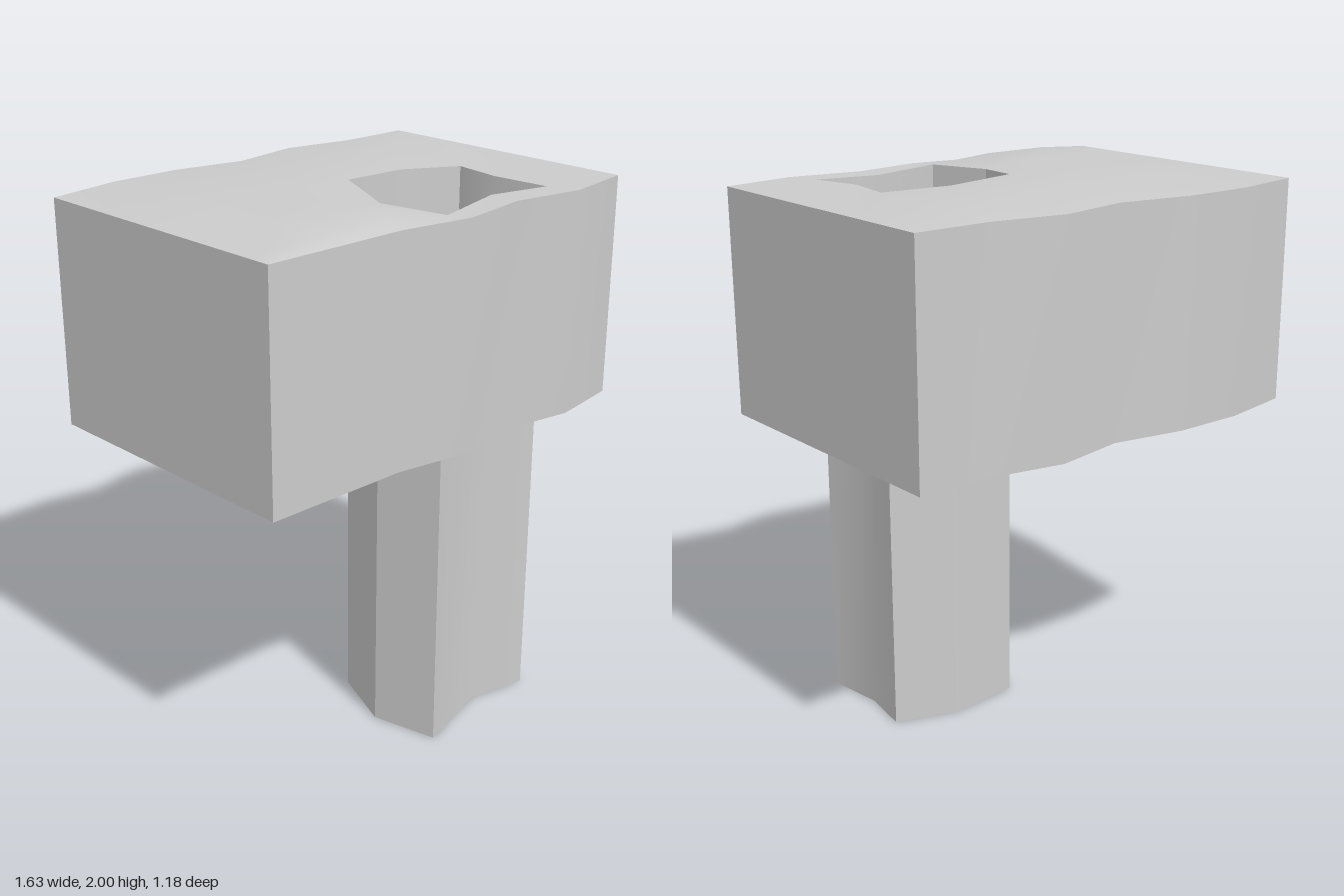
import * as THREE from 'three';
import { toCreasedNormals } from 'three/addons/utils/BufferGeometryUtils.js';

const BLOCK_BOTTOM = 1.16;
const EDGE_TOP = 1.975;

// trunk outline, clockwise from above: x, z, rim height
const trunkRing = [
  [0, 0.02, 2], [0.27, 0, 1.99], [0.5, 0.08, 1.98], [0.47, 0.27, 1.98],
  [0.5, 0.48, 1.975], [0.27, 0.43, 1.975], [-0.035, 0.515, 1.975], [-0.095, 0.27, 1.98],
].map(([x, z, y]) => new THREE.Vector3(x, y, z));

// open, double-sided surface with sharp creases
function surface(name, triangles) {
  const geometry = new THREE.BufferGeometry().setFromPoints(triangles);
  const material = new THREE.MeshStandardMaterial({ color: 0xcccccc, side: THREE.DoubleSide });
  const mesh = new THREE.Mesh(toCreasedNormals(geometry, 0.6), material);
  mesh.name = name;
  return mesh;
}

// walls dropped from a ring of points to a level
function wallTriangles(ring, bottom) {
  const out = [];
  ring.forEach((a, i) => {
    const b = ring[(i + 1) % ring.length];
    const a0 = new THREE.Vector3(a.x, bottom, a.z);
    const b0 = new THREE.Vector3(b.x, bottom, b.z);
    out.push(a, b, b0, a, b0, a0);
  });
  return out;
}

// uneven grid of points for the top of the leaf block
function topGrid() {
  const xs = [-0.815, -0.54, -0.27, 0, 0.27, 0.54, 0.815];
  const back = [-0.545, -0.595, -0.595, -0.545, -0.595, -0.545, -0.545];
  const front = [0.545, 0.545, 0.545, 0.59, 0.545, 0.59, 0.545];
  const rows = [back, -0.27, 0, 0.27, 0.48, front];
  const grid = rows.map((z, r) => xs.map((x, c) => {
    const edge = r === 0 || r === 5 || c === 0 || c === 6;
    return new THREE.Vector3(x, edge ? EDGE_TOP : 2, Array.isArray(z) ? z[c] : z);
  }));
  // the hole rim follows the trunk
  const cells = [[2, 3], [2, 4], [2, 5], [3, 5], [4, 5], [4, 4], [4, 3], [3, 3]];
  cells.forEach(([r, c], i) => { grid[r][c] = trunkRing[i]; });
  return grid;
}

export function createModel() {
  const model = new THREE.Group();
  const grid = topGrid();

  // leaf block top, with the trunk hole left out
  const top = [];
  for (let r = 0; r < 5; r++) {
    for (let c = 0; c < 6; c++) {
      if ((r === 2 || r === 3) && (c === 3 || c === 4)) continue;
      const a = grid[r][c], b = grid[r + 1][c], d = grid[r][c + 1], e = grid[r + 1][c + 1];
      top.push(a, b, d, b, e, d);
    }
  }

  // leaf block sides, open underneath
  const rim = [
    ...grid[0],
    ...grid.slice(1, 5).map((row) => row[6]),
    ...[...grid[5]].reverse(),
    ...grid.slice(1, 5).reverse().map((row) => row[0]),
  ];
  const leaves = new THREE.Group();
  leaves.name = 'leafBlock';
  leaves.add(surface('leafTop', top), surface('leafSides', wallTriangles(rim, BLOCK_BOTTOM)));

  // hollow trunk, closed at the ground
  const centre = new THREE.Vector3(0.22, 0, 0.25);
  const base = trunkRing.map((p) => new THREE.Vector3(p.x, 0, p.z));
  const cap = base.flatMap((p, i) => [centre, p, base[(i + 1) % base.length]]);
  const trunk = new THREE.Group();
  trunk.name = 'trunk';
  trunk.add(surface('trunkWalls', wallTriangles(trunkRing, 0)), surface('trunkBase', cap));

  model.add(leaves, trunk);
  return model;
}
